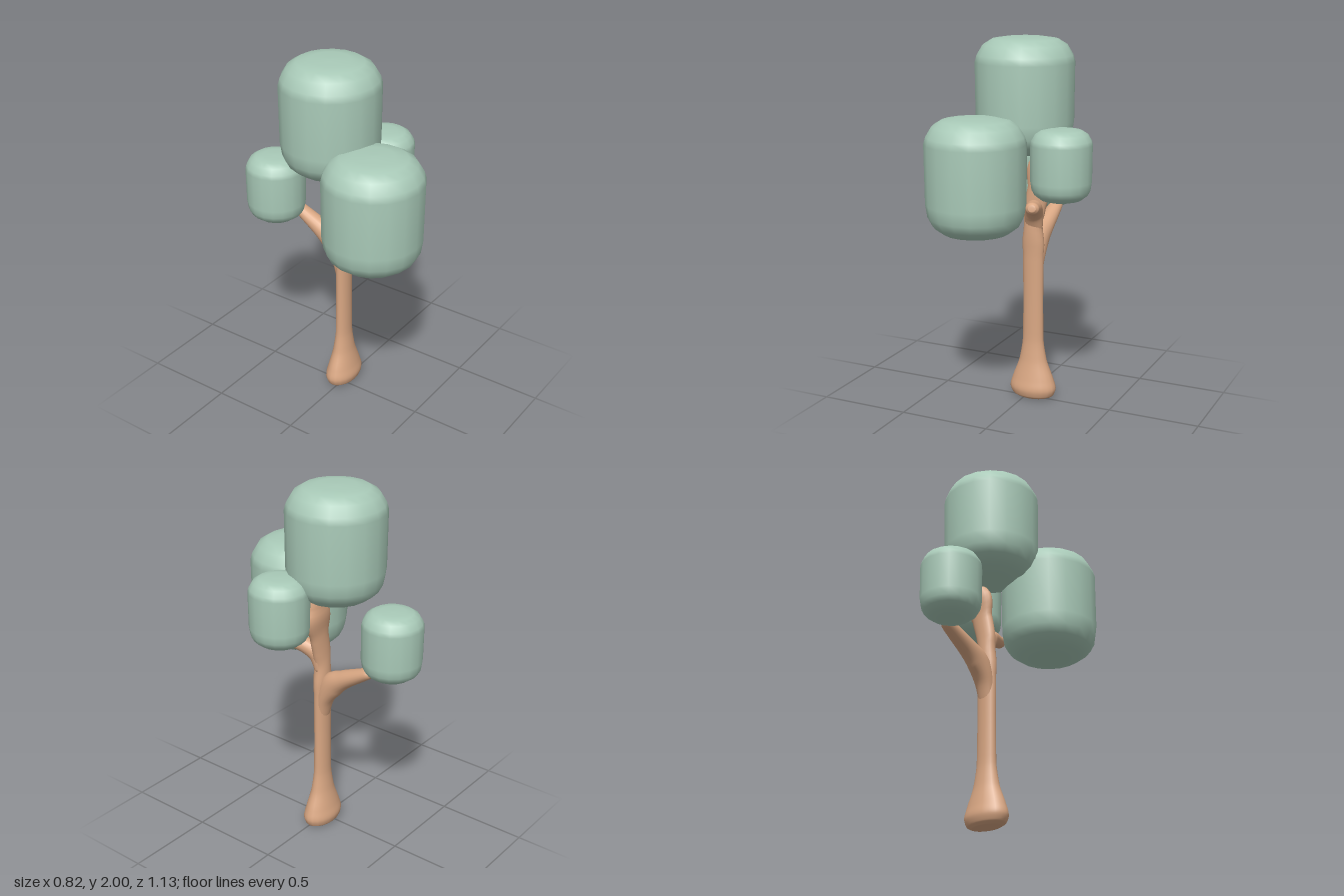
import * as THREE from 'three';

const bark = new THREE.MeshStandardMaterial({ color: 0xd9a783 });
bark.name = 'bark';
const foliage = new THREE.MeshStandardMaterial({ color: 0xa9cab8 });
foliage.name = 'foliage';

// Smooth limb swept through stations [x, y, z, half width, half depth], closed at both ends
function limb(name, stations, steps = 32, sides = 20) {
  const path = new THREE.CatmullRomCurve3(stations.map(([x, y, z]) => new THREE.Vector3(x, y, z)));
  const size = new THREE.CatmullRomCurve3(stations.map((s) => new THREE.Vector3(s[3], s[4], 0)));
  const pos = [], index = [];
  for (let i = 0; i <= steps; i++) {
    const c = path.getPoint(i / steps), r = size.getPoint(i / steps);
    const t = path.getTangent(i / steps);
    const s = new THREE.Vector3(1, 0, 0).addScaledVector(t, -t.x).normalize();
    const b = new THREE.Vector3().crossVectors(t, s);
    for (let j = 0; j < sides; j++) {
      const a = (j / sides) * Math.PI * 2;
      const p = c.clone().addScaledVector(s, Math.cos(a) * r.x).addScaledVector(b, Math.sin(a) * r.y);
      pos.push(p.x, Math.max(p.y, 0), p.z);
      if (i < steps) {
        const k = i * sides + j, n = i * sides + ((j + 1) % sides);
        index.push(k, n, n + sides, k, n + sides, k + sides);
      }
    }
  }
  // end caps
  const last = steps * sides;
  for (let j = 1; j < sides - 1; j++) {
    index.push(0, j + 1, j, last, last + j, last + j + 1);
  }
  const geo = new THREE.BufferGeometry();
  geo.setAttribute('position', new THREE.Float32BufferAttribute(pos, 3));
  geo.setIndex(index);
  geo.computeVertexNormals();
  const mesh = new THREE.Mesh(geo, bark);
  mesh.name = name;
  return mesh;
}

// Rounded barrel of leaves; profile is [radius, distance from the end] as shares of the radius
const bottomCorner = [[0, 0], [0.36, 0.02], [0.66, 0.1], [0.86, 0.25], [0.95, 0.42], [0.99, 0.68]];
const topCorner = [[1, 0.5], [0.96, 0.36], [0.84, 0.16], [0.66, 0.05], [0.4, 0.01], [0, 0]];
function crown(name, x, z, radius, y0, y1) {
  const points = [
    ...bottomCorner.map(([r, d]) => new THREE.Vector2(r * radius, y0 + d * radius)),
    ...topCorner.map(([r, d]) => new THREE.Vector2(r * radius, y1 - d * radius)),
  ];
  const mesh = new THREE.Mesh(new THREE.LatheGeometry(points, 18), foliage);
  mesh.name = name;
  mesh.position.set(x, 0, z);
  return mesh;
}

export function createModel() {
  const tree = new THREE.Group();
  tree.name = 'tree';

  // Flattened trunk with a bulging foot, leaning slightly at the top
  tree.add(limb('trunk', [
    [0.037, 0.005, -0.015, 0.09, 0.055],
    [0.037, 0.02, -0.015, 0.12, 0.075],
    [0.037, 0.06, -0.015, 0.134, 0.085],
    [0.037, 0.12, -0.015, 0.118, 0.073],
    [0.037, 0.22, -0.015, 0.08, 0.052],
    [0.037, 0.35, -0.015, 0.06, 0.038],
    [0.037, 0.6, -0.015, 0.058, 0.036],
    [0.037, 0.85, -0.015, 0.06, 0.037],
    [0.04, 1.05, -0.015, 0.06, 0.037],
    [0.07, 1.2, -0.018, 0.066, 0.036],
    [0.1, 1.36, -0.03, 0.066, 0.036],
    [0.115, 1.44, -0.035, 0.04, 0.025],
  ], 60));

  // Long branch rising to the back
  tree.add(limb('backBranch', [
    [0.037, 0.68, -0.015, 0.045, 0.03],
    [0.037, 0.8, -0.035, 0.055, 0.045],
    [0.038, 0.9, -0.085, 0.056, 0.068],
    [0.039, 0.955, -0.16, 0.052, 0.052],
    [0.04, 1.005, -0.25, 0.045, 0.04],
    [0.04, 1.045, -0.325, 0.036, 0.03],
    [0.04, 1.058, -0.35, 0.018, 0.015],
  ]));

  // Short branch reaching forward
  tree.add(limb('frontBranch', [
    [0.04, 0.98, -0.015, 0.05, 0.03],
    [0.05, 1.06, 0.005, 0.05, 0.05],
    [0.075, 1.105, 0.06, 0.045, 0.045],
    [0.1, 1.122, 0.125, 0.04, 0.036],
    [0.122, 1.135, 0.185, 0.036, 0.032],
    [0.128, 1.138, 0.202, 0.02, 0.018],
  ]));

  // Four crowns of leaves
  tree.add(
    crown('topCrown', -0.03, -0.053, 0.267, 1.372, 2.0),
    crown('frontCrown', -0.15, 0.295, 0.267, 0.98, 1.61),
    crown('leftCrown', 0.248, 0.1, 0.163, 1.165, 1.55),
    crown('backCrown', -0.06, -0.4, 0.164, 1.005, 1.39),
  );
  return tree;
}
